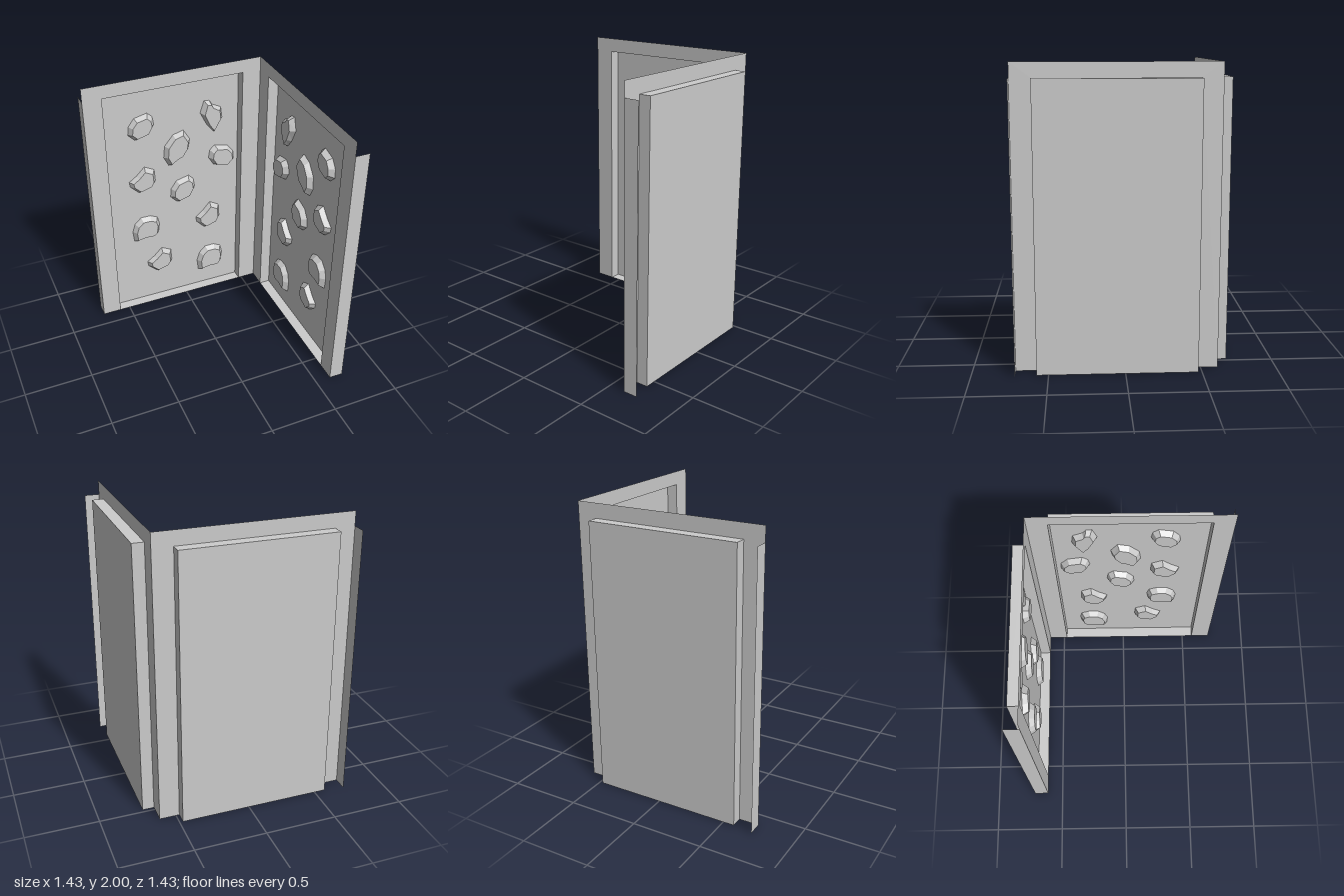
import * as THREE from 'three';

const material = new THREE.MeshStandardMaterial({ color: 0xcccccc, flatShading: true, side: THREE.DoubleSide });

// Wall measurements, for the back wall
const EDGE = -0.717, CORNER = 0.615, HEIGHT = 2;
const LEFT = -0.578, RIGHT = 0.477, TOP = 1.9;
const FACE = -0.615, RECESS = -0.695;

// Climbing hold outlines, each in a unit box
const outlines = {
  pointed: [[-.46, -.5], [-.5, -.06], [-.4, .27], [-.17, .5], [.17, .5], [.43, .37], [.5, .06], [.45, -.3], [.31, -.45], [-.07, -.42]],
  notched: [[.1, .5], [.47, .31], [.5, -.15], [.37, -.36], [-.16, -.5], [-.47, -.2], [-.5, 0], [-.21, .2]],
  leaning: [[-.32, -.5], [-.5, -.23], [-.45, .12], [-.12, .42], [.27, .5], [.5, .2], [.45, -.04], [.22, -.29], [-.06, -.37]],
  rounded: [[-.25, -.5], [-.5, -.25], [-.47, .08], [-.24, .38], [.26, .5], [.45, .32], [.5, 0], [.3, -.35]],
  narrow: [[-.32, .5], [-.08, .48], [.04, .35], [.44, .22], [.5, -.1], [.1, -.5], [-.2, -.25], [-.5, .15]],
};

// Outline, centre x, centre y, width (negative mirrors), height
const holds = [
  ['rounded', -0.29, 1.585, 0.2, 0.2],
  ['narrow', 0.26, 1.56, 0.175, 0.27],
  ['leaning', -0.02, 1.35, 0.21, 0.275],
  ['rounded', 0.342, 1.205, -0.21, 0.2],
  ['notched', -0.302, 1.138, 0.207, 0.212],
  ['rounded', 0.018, 0.98, 0.2, 0.215],
  ['pointed', -0.294, 0.692, 0.222, 0.207],
  ['notched', 0.225, 0.681, 0.201, 0.228],
  ['notched', -0.196, 0.355, 0.207, 0.212],
  ['pointed', 0.24, 0.254, 0.222, 0.222],
];

function add(group, name, geometry, x = 0, y = 0, z = 0) {
  const mesh = new THREE.Mesh(geometry, material);
  mesh.name = name;
  mesh.position.set(x, y, z);
  group.add(mesh);
  return mesh;
}

// A raised prism whose front ring is drawn in to leave a sloped rim
function holdGeometry(outline, w, h) {
  const shape = new THREE.Shape(outlines[outline].map(([x, y]) => new THREE.Vector2(x * w, y * h)));
  const geometry = new THREE.ExtrudeGeometry(shape, { depth: 0.04, bevelEnabled: false });
  const p = geometry.attributes.position;
  const sx = 1 - 0.05 / Math.abs(w), sy = 1 - 0.05 / h;
  for (let i = 0; i < p.count; i++) {
    if (p.getZ(i) > 0.02) p.setXY(i, p.getX(i) * sx, p.getY(i) * sy);
  }
  geometry.computeVertexNormals();
  return geometry;
}

function createWall(name) {
  const wall = new THREE.Group();
  wall.name = name;
  const depth = FACE - RECESS, midZ = (FACE + RECESS) / 2;
  const width = RIGHT - LEFT, midX = (LEFT + RIGHT) / 2;

  // Frame around the recess, open at the foot
  const frame = new THREE.Shape([
    [EDGE, 0], [LEFT, 0], [LEFT, TOP], [RIGHT, TOP], [RIGHT, 0], [CORNER, 0], [CORNER, HEIGHT], [EDGE, HEIGHT],
  ].map(([x, y]) => new THREE.Vector2(x, y)));
  add(wall, 'frame', new THREE.ShapeGeometry(frame), 0, 0, FACE);

  // Recessed panel with its four sides
  add(wall, 'recessPanel', new THREE.PlaneGeometry(width, TOP), midX, TOP / 2, RECESS);
  for (const x of [LEFT, RIGHT]) {
    const side = new THREE.PlaneGeometry(depth, TOP).rotateY(x === LEFT ? Math.PI / 2 : -Math.PI / 2);
    add(wall, 'recessSide', side, x, TOP / 2, midZ);
  }
  for (const y of [0, TOP]) {
    const sill = new THREE.PlaneGeometry(width, depth).rotateX(y === 0 ? -Math.PI / 2 : Math.PI / 2);
    add(wall, y === 0 ? 'recessFloor' : 'recessCeiling', sill, midX, y, midZ);
  }

  // Flange folded back along the free edge
  const flange = new THREE.PlaneGeometry(0.102, TOP).rotateY(-Math.PI / 2);
  add(wall, 'edgeFlange', flange, EDGE, TOP / 2, FACE - 0.051);

  // Climbing holds
  for (const [outline, x, y, w, h] of holds) {
    add(wall, 'climbingHold', holdGeometry(outline, w, h), x, y, RECESS + 0.001);
  }
  return wall;
}

export function createModel() {
  const model = new THREE.Group();
  model.name = 'climbingCorner';
  model.add(createWall('backWall'));

  // The side wall mirrors the back wall across the corner
  const sideWall = createWall('sideWall');
  sideWall.scale.x = -1;
  sideWall.rotation.y = -Math.PI / 2;
  model.add(sideWall);
  return model;
}
